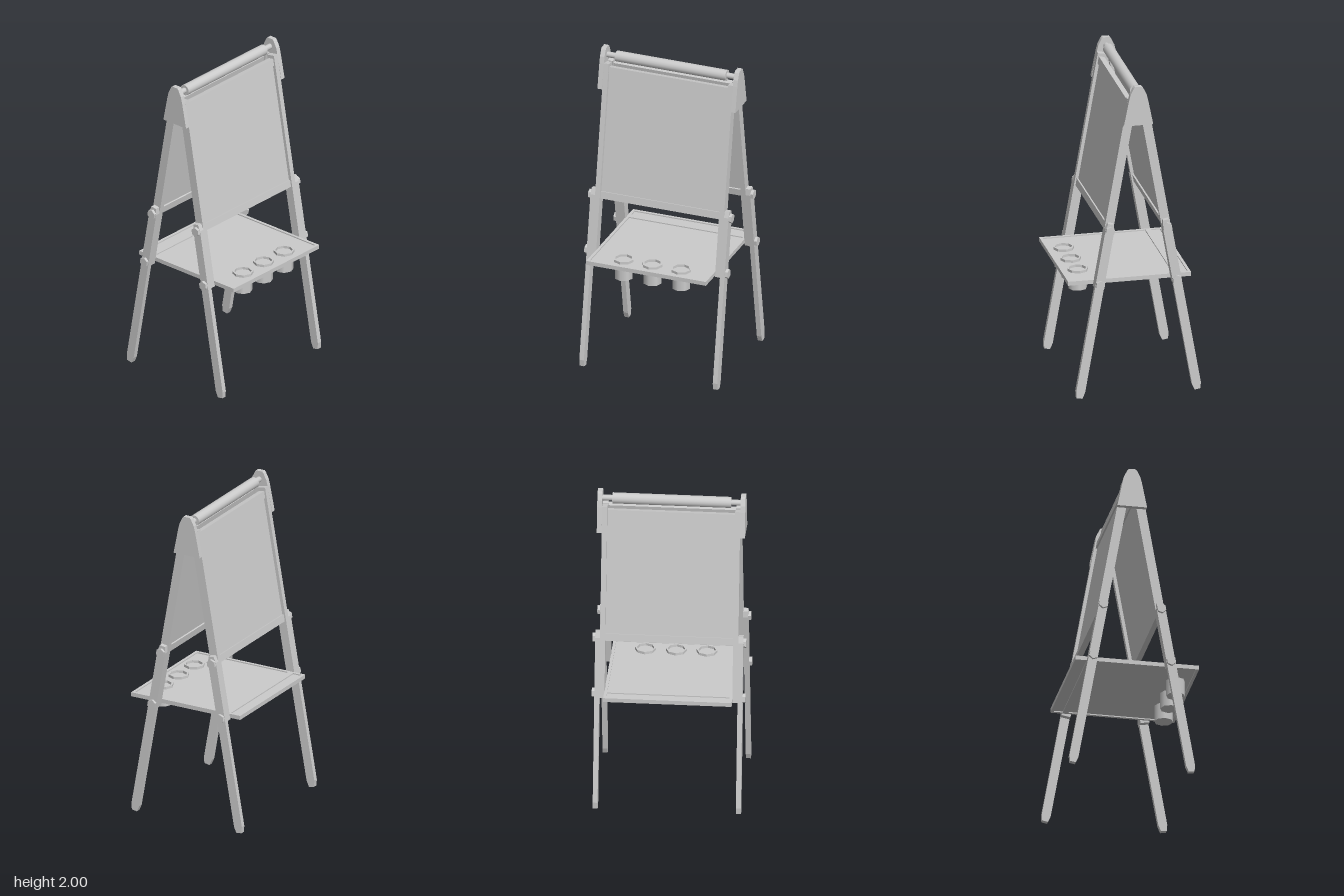
import * as THREE from 'three';

const mat = new THREE.MeshStandardMaterial({ color: 0xcccccc });
const flat = new THREE.MeshStandardMaterial({ color: 0xcccccc, flatShading: true });
const CX = -0.02;                 // centre line of the A-frame
const TILT = Math.PI / 18;        // lean of each leg
const SPREAD = 0.369;             // leg offset from the centre line at floor level
const along = (y) => y / Math.cos(TILT);

function add(parent, name, geometry, x, y, z, material = mat) {
  const mesh = new THREE.Mesh(geometry, material);
  mesh.name = name;
  mesh.position.set(x, y, z);
  parent.add(mesh);
  return mesh;
}

const box = (parent, name, w, h, d, x, y, z) =>
  add(parent, name, new THREE.BoxGeometry(w, h, d), x, y, z);

// Flat outline in x/y given depth along z
function plate(points, depth) {
  const shape = new THREE.Shape(points.map(([x, y]) => new THREE.Vector2(x, y)));
  return new THREE.ExtrudeGeometry(shape, { depth, bevelEnabled: false });
}

// Bar outline with tapered corners at both ends
function bar(y0, y1, taper) {
  const w = 0.028, c = taper ? 0.01 : 0, h = taper ? 0.04 : 0;
  const half = taper
    ? [[w - c, y0], [w, y0 + h], [w, y1 - h], [w - c, y1]]
    : [[w, y0], [w, y1]];
  return [...half, ...half.map(([x, y]) => [-x, y]).reverse()];
}

// One leaning half of the easel: two leg pairs, a framed board and bolts
function createSide(s) {
  const side = new THREE.Group();
  side.name = s > 0 ? 'leftSide' : 'rightSide';
  side.position.x = CX + s * SPREAD;
  side.rotation.z = s * TILT;

  for (const e of [1, -1]) {
    const z = (near, depth) => (e > 0 ? near : -near - depth);
    add(side, 'lowerLeg', plate(bar(0.004, 1.138, true), 0.03), 0, 0, z(0.422, 0.03));
    add(side, 'upperLeg', plate(bar(0.716, 1.938, false), 0.032), 0, 0, z(0.39, 0.032));
    for (const y of [0.73, 1.077]) {
      const bolt = add(side, 'bolt', new THREE.CylinderGeometry(0.03, 0.03, 0.018, 6),
        0, along(y), e * 0.46, flat);
      bolt.rotation.x = Math.PI / 2;
    }
  }

  // Board with thicker rails along its top and bottom
  const lo = along(1.063), hi = along(1.888), rail = 0.045;
  box(side, 'board', 0.016, hi - lo - rail, 0.78, 0, (lo + hi) / 2, 0);
  box(side, 'bottomRail', 0.036, rail, 0.78, 0, lo + rail / 2, 0);
  box(side, 'topRail', 0.036, rail, 0.78, 0, hi - rail / 2, 0);
  return side;
}

// Rimmed shelf with a pencil groove and three paint cups
function createShelf() {
  const shelf = new THREE.Group();
  shelf.name = 'shelf';
  shelf.position.y = 0.733;
  const x0 = -0.362, x1 = 0.406, t = 0.018, h = 0.026;
  box(shelf, 'shelfPanel', x1 - x0 - 2 * t, 0.012, 0.75, (x0 + x1) / 2, 0, 0);
  for (const e of [1, -1]) {
    box(shelf, 'sideRim', x1 - x0, h, t, (x0 + x1) / 2, 0, e * (0.392 - t / 2));
  }
  for (const x of [x0 + t / 2, x1 - t / 2]) {
    box(shelf, 'endRim', t, h, 0.784 - 2 * t, x, 0, 0);
  }
  box(shelf, 'grooveRail', 0.036, h, 0.748, -0.27, 0, 0);

  for (const z of [-0.188, 0, 0.188]) {
    const cup = new THREE.Group();
    cup.name = 'paintCup';
    cup.position.set(0.3, 0, z);
    add(cup, 'cupBody', new THREE.CylinderGeometry(0.058, 0.058, 0.108, 8), 0, -0.054, 0);
    const rim = [[0.053, 0], [0.064, 0], [0.064, 0.022], [0.053, 0.022], [0.053, 0]];
    add(cup, 'cupRim', new THREE.LatheGeometry(rim.map((p) => new THREE.Vector2(...p)), 8),
      0, 0, 0, flat);
    shelf.add(cup);
  }
  return shelf;
}

// Paper roll on its axle between the two caps
function createRoll() {
  const roll = new THREE.Group();
  roll.name = 'paperRoll';
  roll.position.set(CX, 1.947, 0);
  roll.rotation.x = Math.PI / 2;
  add(roll, 'roll', new THREE.CylinderGeometry(0.034, 0.034, 0.724, 16), 0, 0, 0);
  add(roll, 'axle', new THREE.CylinderGeometry(0.018, 0.018, 0.85, 12), 0, 0, 0);
  return roll;
}

export function createModel() {
  const model = new THREE.Group();
  model.name = 'easel';
  model.add(createSide(1), createSide(-1), createShelf(), createRoll());

  // Rounded caps joining the legs at the top
  const half = [[0.092, 1.75], [0.06, 1.91], [0.05, 1.95], [0.03, 1.99], [0.022, 2]];
  const outline = [...half, ...half.map(([x, y]) => [-x, y]).reverse()];
  for (const z of [0.422, -0.452]) {
    add(model, 'topCap', plate(outline, 0.03), CX, 0, z);
  }
  return model;
}
